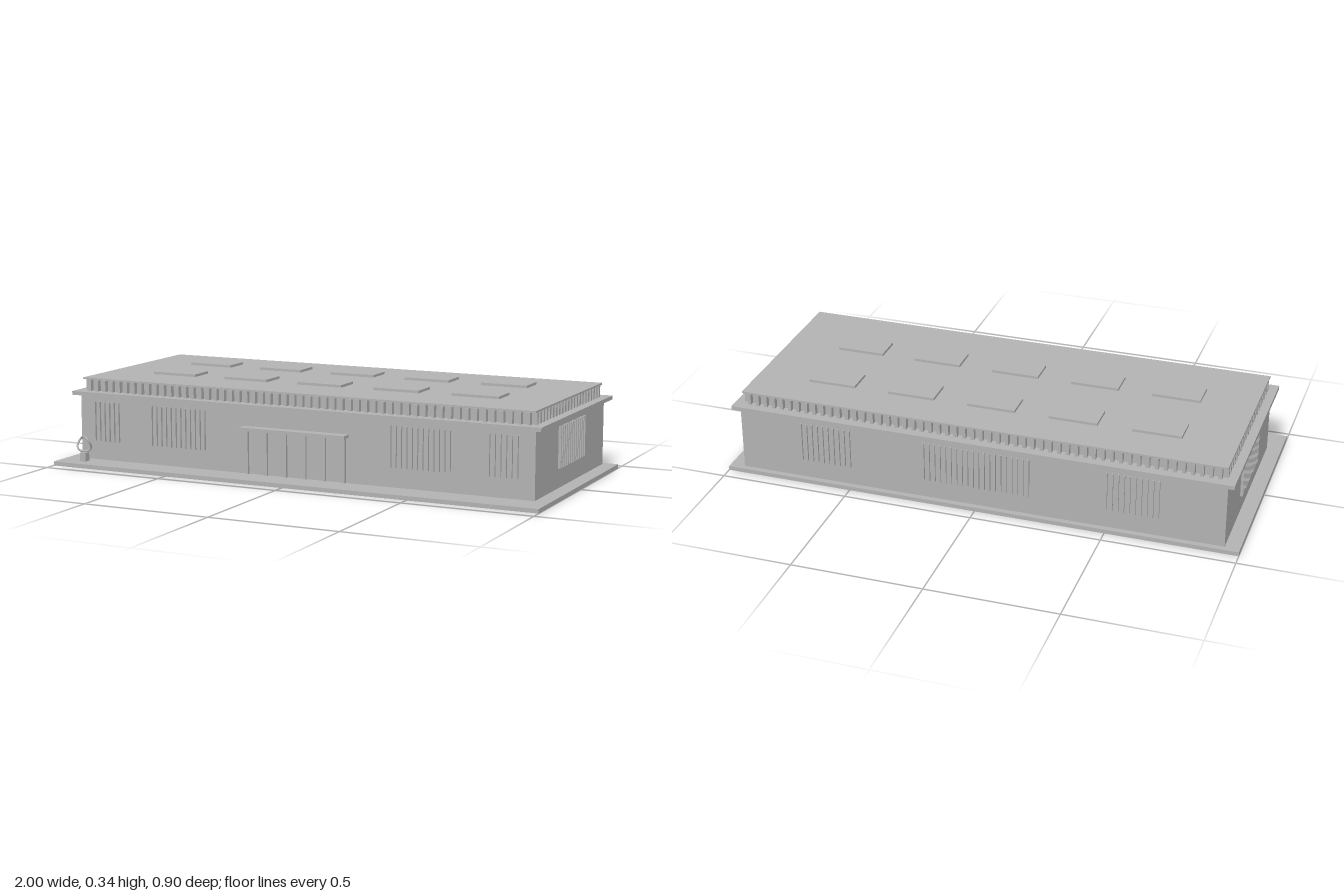
import * as THREE from 'three';

const concrete = new THREE.MeshStandardMaterial({ color: 0xb2b2b2 });
concrete.name = 'concrete grey';

// Box given by its extents on each axis
function box(parent, name, [x0, x1], [y0, y1], [z0, z1]) {
  const mesh = new THREE.Mesh(new THREE.BoxGeometry(x1 - x0, y1 - y0, z1 - z0), concrete);
  mesh.position.set((x0 + x1) / 2, (y0 + y1) / 2, (z0 + z1) / 2);
  mesh.name = name;
  parent.add(mesh);
  return mesh;
}

function group(parent, name) {
  const g = new THREE.Group();
  g.name = name;
  parent.add(g);
  return g;
}

// Evenly spaced positions from a to b
const spread = (a, b, n) => Array.from({ length: n }, (_, i) => a + (b - a) * i / (n - 1));

const WALL_X = 0.943, FRONT = 0.335, BACK = -0.43;

export function createModel() {
  const model = new THREE.Group();
  model.name = 'pavilion';

  // Main masses
  box(model, 'basePlate', [-1, 1], [0, 0.016], [-0.452, 0.452]);
  box(model, 'walls', [-WALL_X, WALL_X], [0.016, 0.268], [BACK, FRONT]);
  box(model, 'cornice', [-0.97, 0.97], [0.268, 0.283], [-0.452, 0.357]);
  box(model, 'clerestory', [-0.917, 0.917], [0.283, 0.328], [-0.4, 0.306]);
  box(model, 'roof', [-0.938, 0.938], [0.328, 0.335], [-0.42, 0.326]);

  // Ribs around the clerestory
  const ribs = group(model, 'clerestoryRibs');
  const ribY = [0.283, 0.327], rw = 0.0065;
  for (const x of spread(-0.91, 0.91, 56)) {
    box(ribs, 'frontRib', [x - rw, x + rw], ribY, [0.306, 0.325]);
    box(ribs, 'backRib', [x - rw, x + rw], ribY, [-0.419, -0.4]);
  }
  for (const z of spread(-0.393, 0.299, 22)) {
    box(ribs, 'leftRib', [0.917, 0.937], ribY, [z - rw, z + rw]);
    box(ribs, 'rightRib', [-0.937, -0.917], ribY, [z - rw, z + rw]);
  }

  // Vertical fins on the walls
  const fins = group(model, 'wallFins');
  const finY = [0.09, 0.245], fw = 0.003;
  for (const s of [-1, 1]) {
    for (const x of [...spread(0.387, 0.62, 12), ...spread(0.77, 0.877, 6)])
      box(fins, 'frontFin', [s * x - fw, s * x + fw], finY, [FRONT, 0.344]);
    for (const x of spread(0.5, 0.695, 10))
      box(fins, 'backFin', [s * x - fw, s * x + fw], finY, [-0.438, BACK]);
    for (const z of spread(-0.184, 0.09, 14))
      box(fins, 'sideFin', s > 0 ? [WALL_X, 0.953] : [-0.953, -WALL_X], finY, [z - fw, z + fw]);
  }
  for (const x of spread(-0.204, 0.204, 20))
    box(fins, 'backFin', [x - fw, x + fw], finY, [-0.438, BACK]);

  // Entrance canopy on slim posts
  const entrance = group(model, 'entrance');
  box(entrance, 'canopy', [-0.218, 0.218], [0.186, 0.198], [FRONT, 0.375]);
  for (const x of spread(-0.202, 0.202, 6))
    box(entrance, 'post', [x - 0.005, x + 0.005], [0.016, 0.186], [FRONT, 0.346]);

  // Skylights in two rows
  const skylights = group(model, 'skylights');
  for (const x of spread(-0.64, 0.633, 5))
    for (const z of [-0.213, 0.078])
      box(skylights, 'skylight', [x - 0.093, x + 0.093], [0.335, 0.345], [z - 0.053, z + 0.053]);

  // Twisted ring sculpture on a plinth
  const sculpture = group(model, 'sculpture');
  box(sculpture, 'plinth', [-0.911, -0.885], [0.016, 0.05], [0.376, 0.402]);
  const loop = new THREE.CatmullRomCurve3(Array.from({ length: 32 }, (_, i) => {
    const t = i / 32 * Math.PI * 2;
    return new THREE.Vector3(0.029 * Math.sin(t), 0.029 * Math.cos(t), 0.0095 * Math.sin(2 * t));
  }), true);
  const ring = new THREE.Mesh(new THREE.TubeGeometry(loop, 64, 0.004, 8, true), concrete);
  ring.name = 'twistedRing';
  ring.position.set(-0.898, 0.083, 0.389);
  sculpture.add(ring);

  return model;
}
